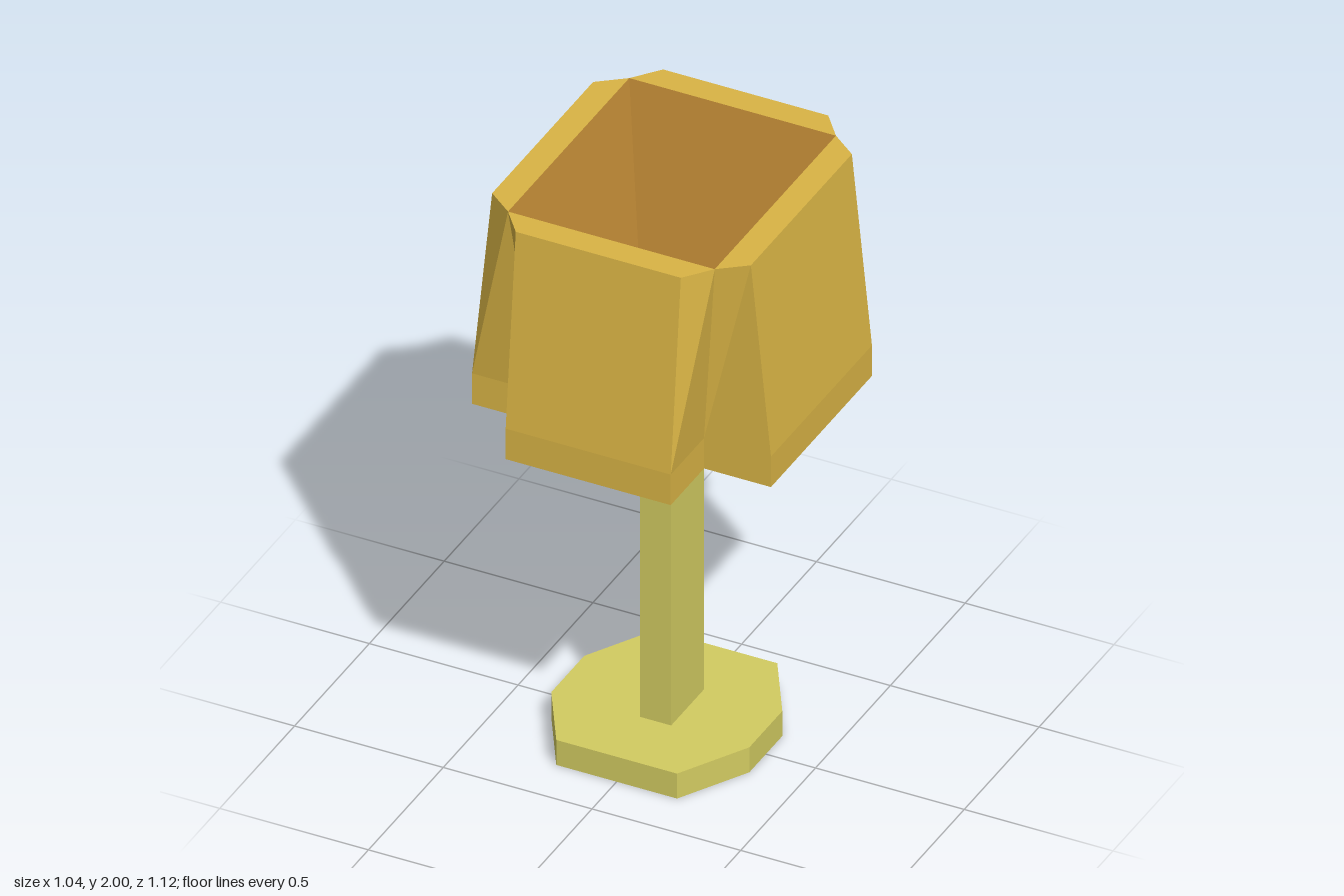
import * as THREE from 'three';

const material = (name, color) => {
  const m = new THREE.MeshStandardMaterial({ color, flatShading: true });
  m.name = name;
  return m;
};

// Twelve-point cross at height y: arms reach ax / az, are fx / fz half wide, with notch corners at nx, nz
function cross(y, ax, az, fx, fz, nx, nz) {
  return [
    [-fx, az], [fx, az], [nx, nz], [ax, fz], [ax, -fz], [nx, -nz],
    [fx, -az], [-fx, -az], [-nx, -nz], [-ax, -fz], [-ax, fz], [-nx, nz],
  ].map(([x, z]) => new THREE.Vector3(x, y, z));
}

// Rectangle with the same point count as the cross (zero size gives a centre point)
const rect = (y, x, z) => cross(y, x, z, x, z, x, z);

// Octagon with half sizes ax, az and flat sides of half width fx, fz
function octagon(y, ax, az, fx, fz) {
  return [
    [-fx, az], [fx, az], [ax, fz], [ax, -fz],
    [fx, -az], [-fx, -az], [-ax, -fz], [-ax, fz],
  ].map(([x, z]) => new THREE.Vector3(x, y, z));
}

// Joins successive rings with flat triangles, leaving out collapsed ones
function loft(rings) {
  const points = [];
  const addTriangle = (a, b, c) => {
    if (new THREE.Triangle(a, b, c).getArea() > 1e-7) points.push(a, b, c);
  };
  for (let r = 0; r < rings.length - 1; r++) {
    const b = rings[r], t = rings[r + 1];
    for (let i = 0; i < b.length; i++) {
      const j = (i + 1) % b.length;
      addTriangle(b[i], b[j], t[j]);
      addTriangle(b[i], t[j], t[i]);
    }
  }
  const geometry = new THREE.BufferGeometry().setFromPoints(points);
  geometry.computeVertexNormals();
  return geometry;
}

// Closed octagonal plate; dome lifts the centre of its top
function octagonPlate(y0, y1, ax, az, fx, fz, dome = 0) {
  return loft([
    octagon(y0, 0, 0, 0, 0),
    octagon(y0, ax, az, fx, fz),
    octagon(y1, ax, az, fx, fz),
    octagon(y1 + dome, 0, 0, 0, 0),
  ]);
}

export function createModel() {
  const group = new THREE.Group();
  const ochre = material('ochre', 0xd9b445);
  const amber = material('amber', 0xc89038);
  const straw = material('straw', 0xd2cb61);
  const lime = material('lime', 0xb4d255);

  const add = (name, geometry, mat, x = 0, y = 0, z = 0) => {
    const mesh = new THREE.Mesh(geometry, mat);
    mesh.name = name;
    mesh.position.set(x, y, z);
    group.add(mesh);
    return mesh;
  };

  // Foot and pole
  add('base', octagonPlate(0, 0.09, 0.333, 0.335, 0.203, 0.11), straw);
  add('pole', new THREE.BoxGeometry(0.105, 1.15, 0.22), straw, 0.0175, 0.655, 0);

  // Outer body: underside, straight band, tapering walls and rim
  const fx = 0.2775, fz = 0.3375, topX = 0.3475, topZ = 0.405;
  const cx = 0.0175;
  add('outerBody', loft([
    rect(1.22, 0, 0),
    cross(1.22, 0.5025, 0.56, fx, fz, fx, fz),
    cross(1.33, 0.5025, 0.56, fx, fz, fx, fz),
    cross(2, 0.435, 0.4925, fx, fz, topX, topZ),
    rect(2, topX, topZ),
  ]), ochre, cx);

  // Inner walls and floor
  add('innerLining', loft([
    rect(2, topX, topZ),
    rect(1.33, fx, fz),
    rect(1.33, 0, 0),
  ]), amber, cx);

  // Small octagonal knob standing off the side wall
  const knob = add('knob', octagonPlate(0.48, 0.518, 0.115, 0.09, 0.036, 0.03, 0.006), lime, 0, 1.595, 0);
  knob.rotation.z = Math.PI / 2;

  return group;
}
